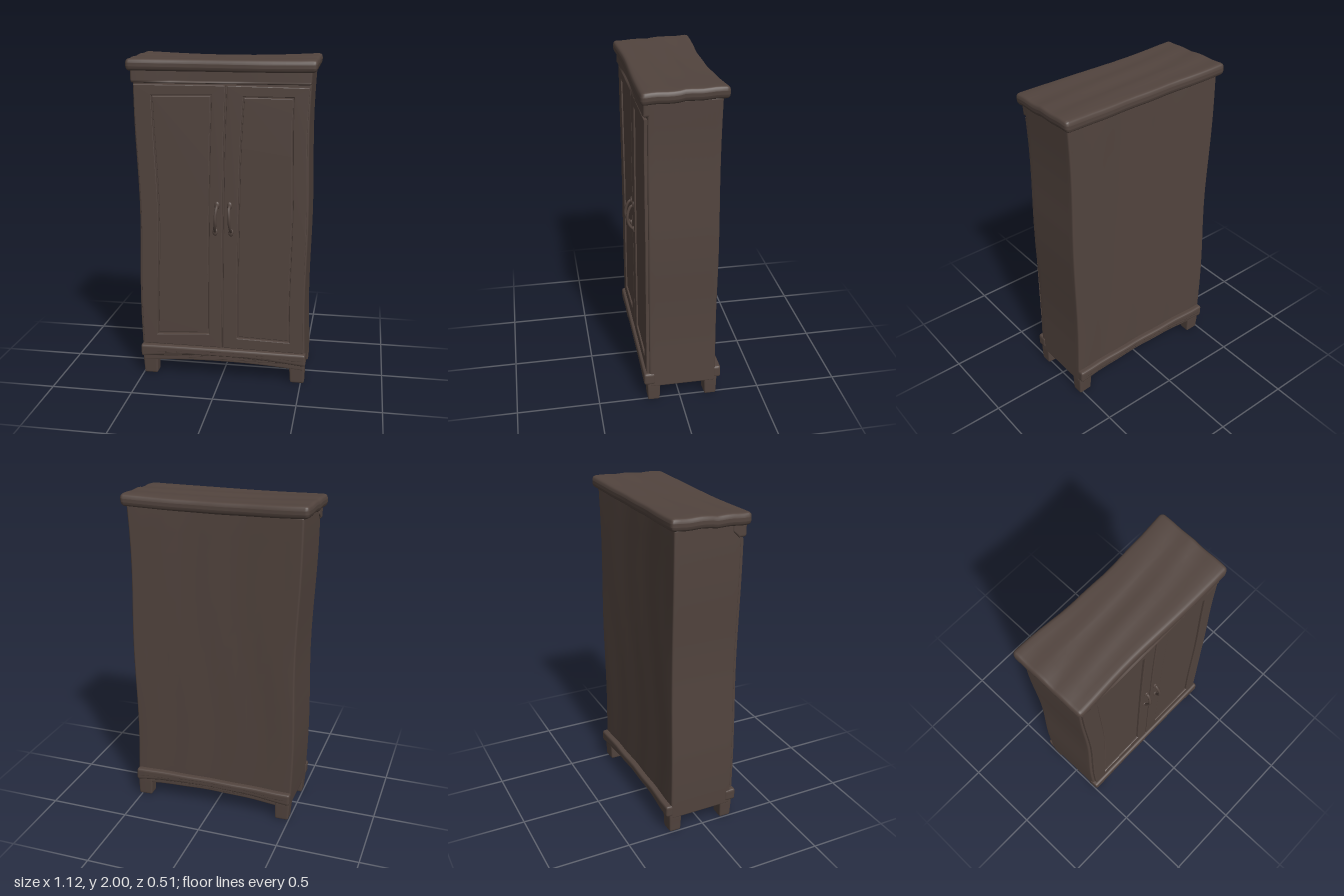
import * as THREE from 'three';
import { mergeVertices } from 'three/addons/utils/BufferGeometryUtils.js';

const MID = 14; // divisions between the rounded ends of a block

// Hand-hewn distortion shared by the whole cabinet
function warp(p) {
  const { x, y, z } = p;
  const high = Math.max(0, y - 0.9);
  p.x += x * 0.027 * high * high + (1 - y / 2) * 0.007 + 0.006 * Math.sin(y * 5.5 - 4.3) * Math.abs(x) / 0.5;
  const inward = 1 - Math.min(1, (x / 0.47) ** 2);
  if (z < -0.1) p.z += inward * (0.006 + 0.016 * (y / 2)) + 0.002 * Math.sin(x * 21 + 2 * Math.sin(y * 3));
  else if (z > 0.1 && y > 1.85) p.z -= 0.009 * inward - 0.004 * Math.sin(x * 8);
}

function warpGeometry(geo, rule) {
  const pos = geo.attributes.position, p = new THREE.Vector3();
  for (let i = 0; i < pos.count; i++) {
    p.fromBufferAttribute(pos, i);
    if (rule) rule(p);
    warp(p);
    pos.setXYZ(i, p.x, p.y, p.z);
  }
  geo.computeVertexNormals();
  return geo;
}

// Soft-edged block between two corners, subdivided so that it can bend
function blockGeometry(min, max, r, rule) {
  const n = MID + 4;
  let geo = new THREE.BoxGeometry(1, 1, 1, n, n, n);
  geo.deleteAttribute('uv');
  geo.deleteAttribute('normal');
  geo = mergeVertices(geo, 1e-4);
  const place = (t, a, b) => {
    const i = Math.round((t + 0.5) * n);
    if (i < 2) return a + [0, 0.45 * r][i];
    if (i > n - 2) return b - [0, 0.45 * r][n - i];
    return a + r + (b - a - 2 * r) * (i - 2) / MID;
  };
  const pos = geo.attributes.position;
  const p = new THREE.Vector3(), core = new THREE.Vector3();
  const lo = new THREE.Vector3(...min).addScalar(r), hi = new THREE.Vector3(...max).addScalar(-r);
  for (let i = 0; i < pos.count; i++) {
    p.set(place(pos.getX(i), min[0], max[0]), place(pos.getY(i), min[1], max[1]), place(pos.getZ(i), min[2], max[2]));
    core.copy(p).clamp(lo, hi);
    p.sub(core).setLength(r).add(core);
    pos.setXYZ(i, p.x, p.y, p.z);
  }
  return warpGeometry(geo, rule);
}

// Closed outline from two edges, each listed bottom to top
function outline(left, right) {
  const smooth = (pts) => new THREE.SplineCurve(pts.map(([x, y]) => new THREE.Vector2(x, y))).getPoints(12);
  return [...smooth(right), ...smooth(left).reverse()];
}

function plateGeometry(points, hole, z0, z1, bevel) {
  const shape = new THREE.Shape(points);
  if (hole) shape.holes.push(new THREE.Path(hole));
  const geo = new THREE.ExtrudeGeometry(shape, {
    depth: z1 - z0 - bevel, bevelEnabled: bevel > 0, bevelSize: bevel,
    bevelOffset: -bevel, bevelThickness: bevel, bevelSegments: 2,
  });
  geo.translate(0, 0, z0);
  return warpGeometry(geo);
}

export function createModel() {
  const group = new THREE.Group();
  group.name = 'wardrobe';
  const wood = new THREE.MeshStandardMaterial({ color: 0x52443e });
  wood.name = 'dark brown wood';
  const add = (name, geo) => {
    const mesh = new THREE.Mesh(geo, wood);
    mesh.name = name;
    group.add(mesh);
    return mesh;
  };

  // Carcass, hollowed underneath
  add('body', blockGeometry([-0.515, 0.1, -0.218], [0.515, 1.93, 0.19], 0.012, (p) => {
    if (p.y < 0.13 && Math.abs(p.x) < 0.49) p.y += 0.05;
  }));

  // Overhanging top board, sagging in the middle
  add('topBoard', blockGeometry([-0.548, 1.912, -0.25], [0.54, 1.985, 0.233], 0.026, (p) => {
    const e = (p.x / 0.55) ** 2;
    p.y += (e - 0.4) * (p.z < 0 ? 0.014 : 0.006) + 0.006 * (-p.z / 0.25) + 0.002 * Math.sin(p.z * 38 + p.x * 4);
  }));
  add('cornice', blockGeometry([-0.522, 1.84, 0.13], [0.515, 1.925, 0.215], 0.012, (p) => {
    if (p.z < 0.17) p.y += (0.17 - p.z) * (1.92 - p.y) * 12;
  }));

  // Base mouldings and arched aprons, front and back
  const arch = (x) => 1 - Math.min(1, (x / 0.5) ** 2);
  const bowRail = (p) => { p.y += arch(p.x) * (p.y < 0.155 ? 0.03 : 0.002); };
  add('frontBaseRail', blockGeometry([-0.52, 0.12, 0.155], [0.52, 0.197, 0.225], 0.014, bowRail));
  add('backBaseRail', blockGeometry([-0.515, 0.12, -0.252], [0.515, 0.197, -0.2], 0.014, bowRail));
  const bowApron = (p) => { if (p.y < 0.12) p.y += arch(p.x) * 0.024; };
  add('frontApron', blockGeometry([-0.505, 0.086, 0.165], [0.505, 0.17, 0.205], 0.008, bowApron));
  add('backApron', blockGeometry([-0.505, 0.086, -0.225], [0.505, 0.17, -0.185], 0.008, bowApron));

  // Four stubby feet
  for (const side of [-1, 1]) {
    for (const [end, z0, z1] of [['front', 0.124, 0.204], ['back', -0.228, -0.148]]) {
      const x0 = side < 0 ? -0.513 : 0.418, cx = x0 + 0.0475, cz = (z0 + z1) / 2;
      add(`${end}${side < 0 ? 'Right' : 'Left'}Foot`,
        blockGeometry([x0, 0, z0], [x0 + 0.095, 0.15, z1], 0.01, (p) => {
          const s = 0.9 + 0.1 * Math.min(1, p.y / 0.1);
          p.x = cx + (p.x - cx) * s;
          p.z = cz + (p.z - cz) * s;
        }));
    }
  }

  // Two framed doors with sunken panels
  const doors = [
    {
      name: 'right',
      outer: [[[-0.499, 0.205], [-0.5, 0.8], [-0.503, 1.4], [-0.507, 1.832]],
        [[-0.004, 0.205], [0.003, 0.8], [0.012, 1.4], [0.027, 1.832]]],
      inner: [[[-0.408, 0.272], [-0.394, 0.8], [-0.396, 1.3], [-0.404, 1.768]],
        [[-0.083, 0.292], [-0.078, 0.8], [-0.07, 1.25], [-0.053, 1.775]]],
    },
    {
      name: 'left',
      outer: [[[0.004, 0.205], [0.011, 0.8], [0.021, 1.4], [0.037, 1.832]],
        [[0.505, 0.2], [0.505, 0.8], [0.504, 1.4], [0.507, 1.825]]],
      inner: [[[0.096, 0.275], [0.098, 0.8], [0.108, 1.35], [0.131, 1.768]],
        [[0.421, 0.268], [0.423, 0.8], [0.425, 1.3], [0.42, 1.768]]],
    },
  ];
  for (const { name, outer, inner } of doors) {
    const hole = outline(...inner);
    add(`${name}DoorFrame`, plateGeometry(outline(...outer), hole, 0.185, 0.208, 0.005));
    const c = hole.reduce((a, v) => a.add(v), new THREE.Vector2()).divideScalar(hole.length);
    const panel = hole.map((v) => new THREE.Vector2(c.x + (v.x - c.x) * 0.96, c.y + (v.y - c.y) * 0.991));
    add(`${name}DoorPanel`, plateGeometry(panel, null, 0.185, 0.199, 0.004));
  }

  // Bowed pull handles with a round mount at each end
  for (const [name, x, lean] of [['right', -0.028, 0.006], ['left', 0.058, -0.004]]) {
    const path = new THREE.CatmullRomCurve3([
      [lean, 1.125, 0.2], [lean, 1.105, 0.228], [0, 1.05, 0.246],
      [0, 1.01, 0.243], [-lean, 0.975, 0.226], [-lean, 0.95, 0.2],
    ].map(([dx, y, z]) => new THREE.Vector3(x + dx, y, z)));
    add(`${name}Handle`, new THREE.TubeGeometry(path, 24, 0.009, 8));
    for (const [end, y, s] of [['Upper', 1.12, 1], ['Lower', 0.955, -1]]) {
      const mount = add(`${name}Handle${end}Mount`, new THREE.SphereGeometry(0.016, 12, 8));
      mount.scale.set(1, 1.5, 0.6);
      mount.position.set(x + s * lean, y, 0.208);
    }
  }
  return group;
}
